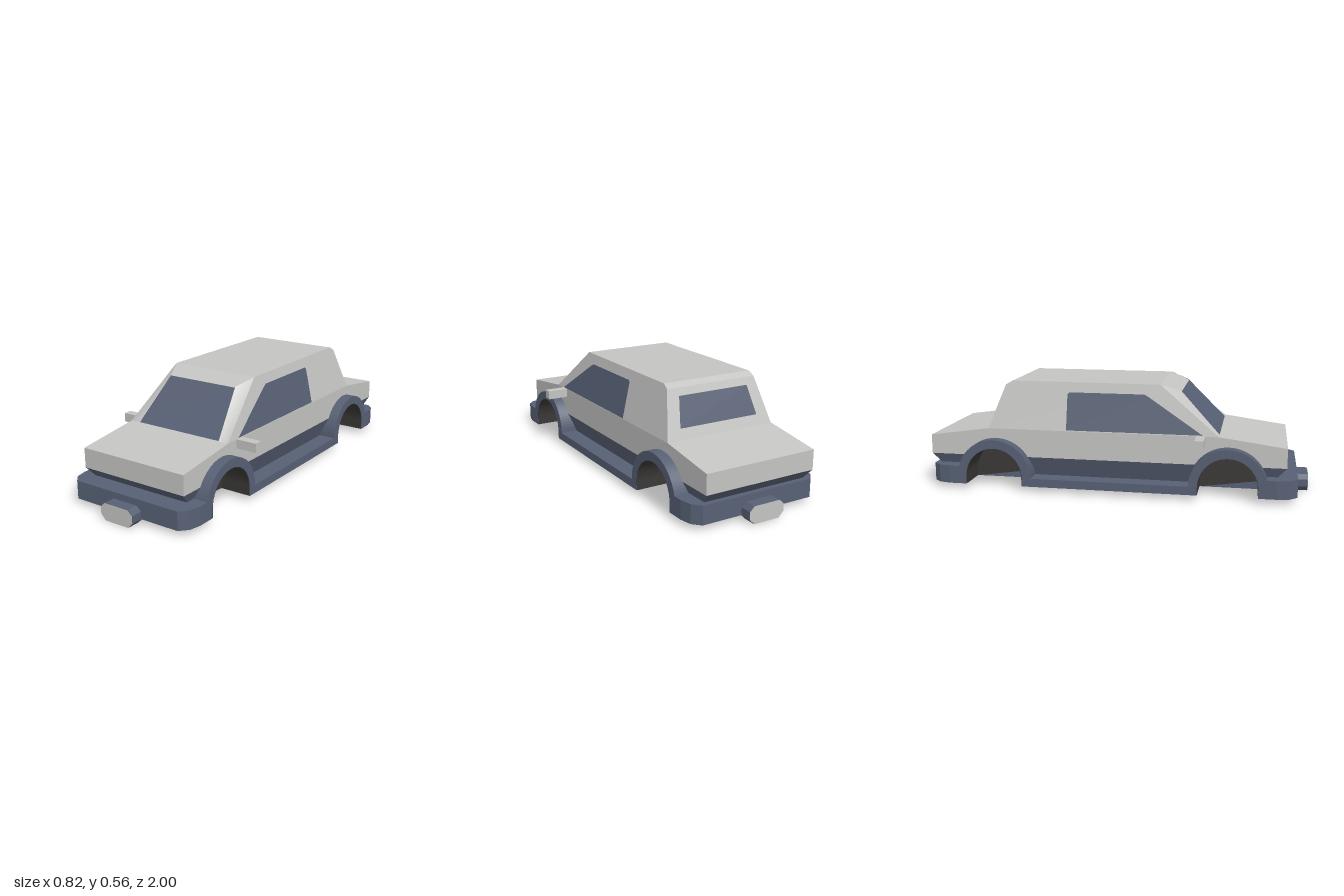
import * as THREE from 'three';

const mat = (name, color) => {
  const m = new THREE.MeshStandardMaterial({ color, side: THREE.DoubleSide });
  m.name = name;
  return m;
};

export function createModel() {
  const body = mat('bodyGrey', 0xc4c4c3);
  const slate = mat('slateTrim', 0x576074);
  const dark = mat('wheelWellDark', 0x3a3937);
  const car = new THREE.Group();
  car.name = 'car';

  const add = (name, geometry, material) => {
    const mesh = new THREE.Mesh(geometry, material);
    mesh.name = name;
    car.add(mesh);
    return mesh;
  };

  // Extrudes a (z, y) side profile across the car from x0 to x1
  const extrudeX = (shape, x0, x1) =>
    new THREE.ExtrudeGeometry(shape, { depth: x1 - x0, bevelEnabled: false, curveSegments: 20 })
      .rotateY(-Math.PI / 2).translate(x1, 0, 0);

  // Flat convex face, corners counter-clockwise
  const face = (pts) => {
    const g = new THREE.BufferGeometry();
    g.setAttribute('position', new THREE.Float32BufferAttribute(pts.flat(), 3));
    const index = [];
    for (let i = 1; i < pts.length - 1; i++) index.push(0, i, i + 1);
    g.setIndex(index);
    g.computeVertexNormals();
    return g;
  };
  const mirror = (pts) => pts.map(([x, y, z]) => [-x, y, z]).reverse();
  const addPair = (name, pts, material) => {
    add(name + 'Left', face(pts), material);
    add(name + 'Right', face(mirror(pts)), material);
  };

  // Symmetric four-cornered face between two horizontal edges [x, y, z]
  const band = ([xa, ya, za], [xb, yb, zb]) =>
    face([[-xa, ya, za], [xa, ya, za], [xb, yb, zb], [-xb, yb, zb]]);

  // Box whose bottom and top rectangles differ: [y, halfWidth, zBack, zFront]
  const taper = (bottom, top) => {
    const g = new THREE.BoxGeometry(1, 1, 1);
    const p = g.attributes.position;
    for (let i = 0; i < p.count; i++) {
      const [y, w, z0, z1] = p.getY(i) > 0 ? top : bottom;
      p.setXYZ(i, Math.sign(p.getX(i)) * w, y, p.getZ(i) > 0 ? z1 : z0);
    }
    g.computeVertexNormals();
    return g;
  };

  const FLOOR = 0.027, HUB = 0.07, WELL = 0.15, ARCH = 0.195, AXLES = [-0.6, 0.6];

  // Lower body shell with arches cut out of its underside
  const shell = new THREE.Shape();
  shell.moveTo(0.885, 0.17);
  [[0.885, 0.27], [0.55, 0.315], [-0.64, 0.315], [-0.955, 0.27], [-0.955, 0.17]]
    .forEach(([z, y]) => shell.lineTo(z, y));
  const cut = Math.asin(0.1 / 0.17);
  AXLES.forEach((z) => shell.absarc(z, HUB, 0.17, Math.PI - cut, cut, true));
  shell.closePath();
  add('lowerBody', extrudeX(shell, -0.3, 0.3), body);

  // Tapered sill band below the body, interrupted at the wheels
  add('frontSill', taper([0.115, 0.278, 0.765, 0.838], [0.17, 0.3, 0.765, 0.885]), slate);
  add('rearSill', taper([0.115, 0.278, -0.908, -0.765], [0.17, 0.3, -0.955, -0.765]), slate);
  add('middleSill', taper([0.07, 0.262, -0.43, 0.43], [0.17, 0.3, -0.43, 0.43]), slate);

  // Chassis floor and bumpers with chamfered corners
  add('floor', new THREE.BoxGeometry(0.37, 0.12 - FLOOR, 1.56).translate(0, (0.12 + FLOOR) / 2, 0), slate);
  const bumper = new THREE.Shape([[-0.355, 0.76], [0.355, 0.76], [0.355, 0.84], [0.342, 0.9],
    [0.305, 0.94], [-0.305, 0.94], [-0.342, 0.9], [-0.355, 0.84]]
    .map(([x, z]) => new THREE.Vector2(x, z)));
  const bumperGeo = new THREE.ExtrudeGeometry(bumper, { depth: 0.12 - FLOOR, bevelEnabled: false })
    .rotateX(Math.PI / 2).translate(0, 0.12, 0);
  add('frontBumper', bumperGeo, slate);
  add('rearBumper', bumperGeo, slate).rotation.y = Math.PI;

  // Side skirt running into the wheel arches
  const skirt = new THREE.Shape();
  skirt.moveTo(-0.79, FLOOR);
  for (const z of AXLES) {
    skirt.lineTo(z - WELL, FLOOR);
    skirt.absarc(z, HUB, WELL, Math.PI, 0, true);
    skirt.lineTo(z + WELL, FLOOR);
  }
  skirt.lineTo(0.79, FLOOR);
  for (const z of [...AXLES].reverse()) skirt.absarc(z, HUB, ARCH, 0, Math.PI, false);
  skirt.closePath();

  // Wheel well lining and inner wall
  const wellShape = (r) => {
    const s = new THREE.Shape();
    s.moveTo(r, FLOOR);
    s.absarc(0, HUB, r, 0, Math.PI, false);
    s.lineTo(-r, FLOOR);
    return s;
  };
  const lining = wellShape(WELL);
  lining.absarc(0, HUB, WELL - 0.003, Math.PI, 0, true);
  lining.lineTo(WELL - 0.003, FLOOR);

  for (const s of [1, -1]) {
    const side = s > 0 ? 'Left' : 'Right';
    const span = (a, b) => (s > 0 ? [a, b] : [-b, -a]);
    add('skirt' + side, extrudeX(skirt, ...span(0.185, 0.355)), slate);
    for (const z of AXLES) {
      const end = z > 0 ? 'front' : 'rear';
      add(end + 'WellLining' + side, extrudeX(lining, ...span(0.185, 0.354)), dark).position.z = z;
      add(end + 'WellWall' + side, extrudeX(wellShape(WELL), ...span(0.18, 0.188)), dark).position.z = z;
    }
    add('mirror' + side, new THREE.BoxGeometry(0.12, 0.046, 0.045)
      .translate(s * 0.35, 0.293, 0.46), body);
  }

  // Cabin: sides lean inwards towards the roof
  const sideX = (y) => 0.3 - (0.055 * (y - 0.315)) / 0.245;
  const onSide = (pts, out) => pts.map(([z, y]) => [sideX(y) + out, y, z]);
  addPair('cabinSide', onSide([[0.55, 0.315], [-0.64, 0.315], [-0.555, 0.54], [-0.52, 0.56], [0.25, 0.56]], 0), body);
  addPair('sideWindow', onSide([[0.47, 0.32], [-0.225, 0.32], [-0.225, 0.5], [-0.215, 0.51],
    [0.17, 0.51], [0.15, 0.505].map((v, i) => v + [0.04, -0.005][i])], 0.004), slate);
  addPair('windshieldPillar', [[0.245, 0.315, 0.55], [0.3, 0.315, 0.55], [0.245, 0.56, 0.25], [0.2, 0.525, 0.35]], body);
  add('windshield', band([0.245, 0.316, 0.55], [0.2, 0.522, 0.352]), slate);
  add('windshieldHeader', band([0.2, 0.522, 0.352], [0.245, 0.56, 0.25]), body);
  add('roof', band([0.245, 0.56, 0.25], [0.245, 0.56, -0.52]), body);
  add('roofRearEdge', band([0.245, 0.56, -0.52], [0.2495, 0.54, -0.555]), body);
  add('cabinBack', band([0.2495, 0.54, -0.555], [0.3, 0.315, -0.64]), body);
  add('rearWindow', band([0.195, 0.505, -0.572], [0.22, 0.365, -0.625]), slate);

  // Plate holders: slate block with a light face
  const plate = new THREE.Shape([[-0.068, 0], [0.068, 0], [0.095, 0.027], [0.095, 0.064],
    [0.07, 0.087], [-0.07, 0.087], [-0.095, 0.064], [-0.095, 0.027]]
    .map(([x, y]) => new THREE.Vector2(x, y)));
  for (const [end, turn] of [['front', 0], ['rear', Math.PI]]) {
    const block = new THREE.ExtrudeGeometry(plate, { depth: 0.068, bevelEnabled: false }).translate(0, 0, 0.93);
    add(end + 'PlateHolder', block, slate).rotation.y = turn;
    add(end + 'Plate', new THREE.ShapeGeometry(plate).translate(0, 0, 1), body).rotation.y = turn;
  }
  return car;
}
